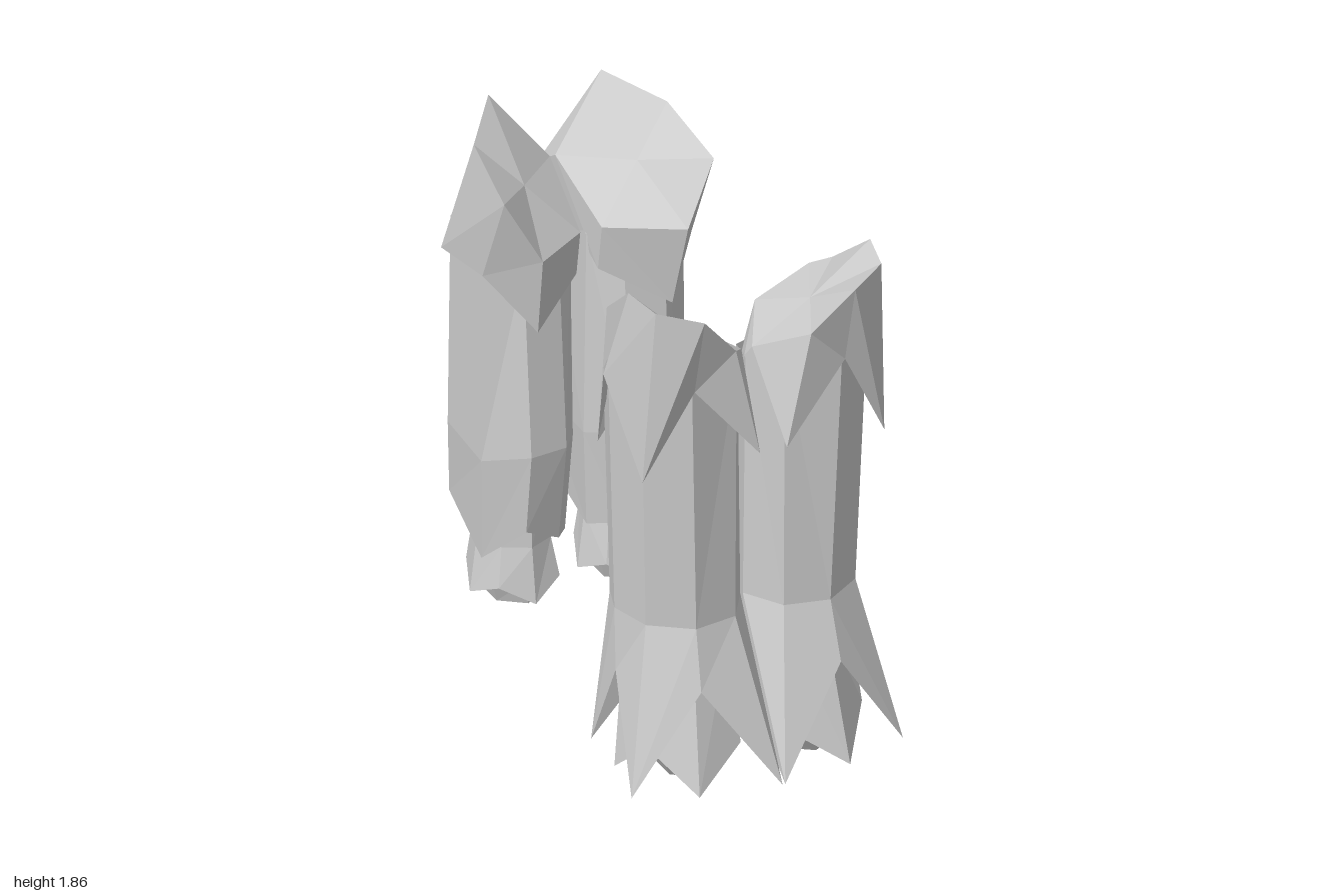
import * as THREE from 'three';

const fur = new THREE.MeshStandardMaterial({ color: 0xcccccc, flatShading: true, side: THREE.DoubleSide });
fur.name = 'pale grey';

// Skin between rings listed top to bottom; optional centre points close the ends.
function loft(name, side, rings, top, bottom) {
  const pos = [];
  const tri = (a, b, c) => {
    for (const p of side > 0 ? [a, b, c] : [a, c, b]) pos.push(p[0] * side, p[1], p[2]);
  };
  const n = rings[0].length;
  for (let i = 0; i < n; i++) {
    const j = (i + 1) % n;
    for (let r = 0; r + 1 < rings.length; r++) {
      const a = rings[r], b = rings[r + 1];
      tri(a[i], b[i], b[j]);
      tri(a[i], b[j], a[j]);
    }
    if (top) tri(top, rings[0][i], rings[0][j]);
    const last = rings[rings.length - 1];
    if (bottom) tri(bottom, last[j], last[i]);
  }
  const g = new THREE.BufferGeometry();
  g.setAttribute('position', new THREE.Float32BufferAttribute(pos, 3));
  g.computeVertexNormals();
  const mesh = new THREE.Mesh(g, fur);
  mesh.name = name;
  return mesh;
}

// Regular ring, running from the front towards the outer side.
const ring = (cx, cz, rx, rz, y, n, zig = 0) =>
  Array.from({ length: n }, (_, i) => {
    const a = (i / n) * Math.PI * 2;
    return [cx + Math.sin(a) * rx, y + (i % 2 ? zig : 0), cz + Math.cos(a) * rz];
  });

function frontLeg(side) {
  const leg = new THREE.Group();
  leg.name = side > 0 ? 'leftFrontLeg' : 'rightFrontLeg';

  // shoulder tuft: sloping top, ragged hem
  const rim = [[0.14, 1.67, 0.92], [0.28, 1.83, 0.97], [0.42, 1.855, 0.88], [0.45, 1.87, 0.73],
    [0.42, 1.7, 0.5], [0.37, 1.65, 0.42], [0.15, 1.58, 0.46], [0.02, 1.55, 0.71]];
  const hem = [[0.05, 1.26, 0.92], [0.28, 1.53, 0.89], [0.45, 1.2, 0.84], [0.5, 1.53, 0.64],
    [0.43, 1.17, 0.45], [0.22, 1.42, 0.42], [0.06, 1.28, 0.47], [0.01, 1.5, 0.67]];
  leg.add(loft('shoulderTuft', side, [rim, hem], [0.25, 1.67, 0.68]));

  // column with flared, spiked hem
  const upper = [[0.09, 1.56, 0.82], [0.28, 1.56, 0.87], [0.42, 1.56, 0.77], [0.46, 1.56, 0.59],
    [0.42, 1.45, 0.47], [0.22, 1.45, 0.44], [0.06, 1.45, 0.5], [0.015, 1.5, 0.67]];
  const knee = [[0.09, 0.6, 0.81], [0.25, 0.6, 0.84], [0.39, 0.6, 0.74], [0.43, 0.6, 0.58],
    [0.39, 0.6, 0.46], [0.22, 0.6, 0.44], [0.05, 0.6, 0.5], [0.005, 0.6, 0.67]];
  const spikes = [[0.005, 0.03, 1.0], [0.26, 0.39, 0.9], [0.505, 0.03, 0.87], [0.44, 0.38, 0.61],
    [0.45, 0.04, 0.44], [0.22, 0.28, 0.43], [0.09, 0.04, 0.43], [0.005, 0.3, 0.66]];
  leg.add(loft('shin', side, [upper, knee, spikes]));

  // inner fringe showing between the spikes
  const inner = knee.map(([x, , z]) => [0.22 + (x - 0.22) * 0.85, 0.5, 0.64 + (z - 0.64) * 0.85]);
  const fringe = [[0.09, 0.14, 0.85], [0.28, 0.01, 0.93], [0.4, 0.15, 0.77], [0.44, 0.01, 0.6],
    [0.37, 0.14, 0.5], [0.22, 0.02, 0.44], [0.09, 0.14, 0.52], [0.03, 0.02, 0.67]];
  leg.add(loft('ankleFringe', side, [inner, fringe]));

  // foot
  leg.add(loft('foot', side, [ring(0.22, 0.66, 0.1, 0.12, 0.5, 6), ring(0.22, 0.68, 0.12, 0.15, 0.06, 6),
    ring(0.22, 0.68, 0.09, 0.11, 0.01, 6)], null, [0.22, 0.01, 0.68]));
  return leg;
}

function hindLeg(side) {
  const leg = new THREE.Group();
  leg.name = side > 0 ? 'leftHindLeg' : 'rightHindLeg';

  // thigh tuft: top tilted inwards and forwards
  const rim = [[0.27, 1.45, -0.31], [0.39, 1.67, -0.36], [0.36, 1.75, -0.66],
    [0.21, 1.81, -0.86], [0.01, 1.56, -0.8], [0.04, 1.42, -0.5]];
  const hem = [[0.25, 1.14, -0.39], [0.39, 1.32, -0.53], [0.41, 1.3, -0.81],
    [0.17, 1.54, -0.96], [0.01, 1.48, -0.93], [0.04, 1.25, -0.53]];
  leg.add(loft('thighTuft', side, [rim, hem], [0.21, 1.6, -0.58]));

  // column with a ragged hem
  const upper = [[0.12, 1.35, -0.5], [0.26, 1.35, -0.48], [0.37, 1.4, -0.56], [0.38, 1.42, -0.8],
    [0.16, 1.35, -0.98], [0.03, 1.4, -0.93], [0.03, 1.35, -0.6]];
  const middle = [[0.12, 0.65, -0.44], [0.26, 0.65, -0.42], [0.38, 0.6, -0.56], [0.39, 0.64, -0.8],
    [0.16, 0.65, -0.99], [0.03, 0.6, -0.93], [0.02, 0.6, -0.6]];
  const hemLow = [[0.12, 0.28, -0.5], [0.26, 0.35, -0.46], [0.36, 0.21, -0.6], [0.37, 0.36, -0.83],
    [0.16, 0.22, -1.0], [0.04, 0.33, -0.9], [0.04, 0.24, -0.62]];
  leg.add(loft('shin', side, [upper, middle, hemLow], [0.2, 1.38, -0.7]));

  // toes around a flat sole
  leg.add(loft('toes', side, [ring(0.2, -0.7, 0.13, 0.15, 0.5, 8), ring(0.2, -0.7, 0.13, 0.16, 0.24, 8),
    ring(0.2, -0.69, 0.16, 0.18, 0.04, 8, 0.06)]));
  leg.add(loft('sole', side, [ring(0.2, -0.69, 0.14, 0.16, 0.13, 6), ring(0.2, -0.7, 0.1, 0.13, 0.015, 6)],
    null, [0.2, 0.015, -0.7]));
  return leg;
}

export function createModel() {
  const model = new THREE.Group();
  model.name = 'furryLegs';
  for (const side of [1, -1]) model.add(frontLeg(side), hindLeg(side));
  return model;
}
